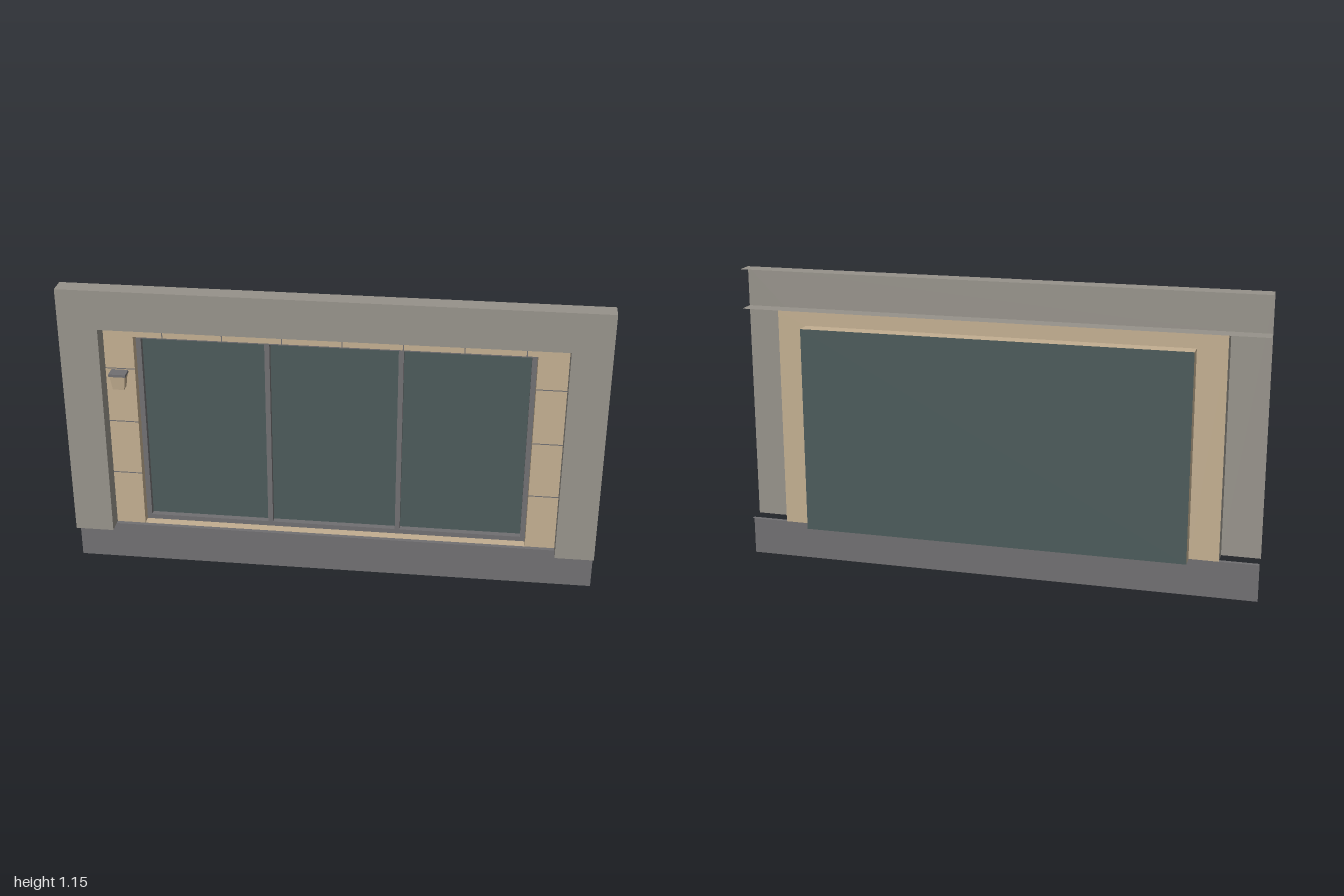
import * as THREE from 'three';

const paint = (name, color) => new THREE.MeshStandardMaterial({ name, color, side: THREE.DoubleSide });

export function createModel() {
  const root = new THREE.Group();
  root.name = 'windowBay';
  const concrete = paint('warmGreyConcrete', 0x96928a);
  const stone = paint('tanStone', 0xc2ae90);
  const metal = paint('darkGreyMetal', 0x706f71);
  const glass = paint('tealGlass', 0x4b5a5a);

  const FRONT = 0.065, WALL = -0.005, BACK = -0.065; // depth planes
  const SILL = 0.15, HEAD = 1.0, TOP = 1.152;        // heights
  const OPEN = 0.853, WIN = 0.741, WIN_TOP = 0.947;  // half widths and window head

  const add = (name, geometry, material) => {
    const mesh = new THREE.Mesh(geometry, material);
    mesh.name = name;
    root.add(mesh);
    return mesh;
  };
  const box = (name, mat, x0, x1, y0, y1, z0, z1) => add(name,
    new THREE.BoxGeometry(x1 - x0, y1 - y0, z1 - z0)
      .translate((x0 + x1) / 2, (y0 + y1) / 2, (z0 + z1) / 2), mat);
  // Single sheets facing the front, up or sideways
  const frontSheet = (name, mat, x0, x1, y0, y1, z) => add(name,
    new THREE.PlaneGeometry(x1 - x0, y1 - y0).translate((x0 + x1) / 2, (y0 + y1) / 2, z), mat);
  const flatSheet = (name, mat, halfX, y, z0, z1) => add(name,
    new THREE.PlaneGeometry(2 * halfX, z1 - z0).rotateX(-Math.PI / 2).translate(0, y, (z0 + z1) / 2), mat);
  const sideSheet = (name, mat, x, y0, y1, z0, z1) => add(name,
    new THREE.PlaneGeometry(z1 - z0, y1 - y0)
      .rotateY(x < 0 ? Math.PI / 2 : -Math.PI / 2).translate(x, (y0 + y1) / 2, (z0 + z1) / 2), mat);
  // Upside-down U sheet around an opening that reaches the sill
  const arch = (name, mat, w, top, innerW, innerTop, z) => {
    const shape = new THREE.Shape([
      [-w, SILL], [-innerW, SILL], [-innerW, innerTop], [innerW, innerTop],
      [innerW, SILL], [w, SILL], [w, top], [-w, top],
    ].map(([x, y]) => new THREE.Vector2(x, y)));
    add(name, new THREE.ShapeGeometry(shape).translate(0, 0, z), mat);
  };

  // Outer concrete surround with its top and soffit shelves
  arch('outerSurround', concrete, 1, TOP, OPEN, HEAD, FRONT);
  flatSheet('topLedge', concrete, 1, TOP, WALL, FRONT);
  flatSheet('soffit', concrete, 1, HEAD, WALL, FRONT);

  // Base panel set back, with a narrow ledge
  frontSheet('basePanel', metal, -1, 1, 0, SILL, 0.012);
  flatSheet('baseLedge', metal, 1, SILL, WALL, 0.012);

  // Stone wall and the reveal around the window
  arch('stoneWall', stone, OPEN, HEAD, WIN, WIN_TOP, WALL);
  flatSheet('windowHead', stone, WIN, WIN_TOP, BACK, WALL);
  flatSheet('windowSill', stone, WIN, SILL, BACK, WALL);
  for (const s of [-1, 1]) {
    sideSheet('surroundReveal', concrete, s * OPEN, SILL, HEAD, WALL, FRONT);
    sideSheet('windowReveal', stone, s * WIN, SILL, WIN_TOP, BACK, WALL);
  }

  // Thin joints between the stone slabs
  const J = 0.002, jz = WALL + 0.001;
  for (const y of [0.374, 0.596, 0.817]) {
    frontSheet('stoneJoint', metal, -OPEN, -WIN, y - J, y + J, jz);
    frontSheet('stoneJoint', metal, WIN, OPEN, y - J, y + J, jz);
  }
  for (let i = 0; i < 7; i++) {
    const x = -0.631 + i * 0.222;
    frontSheet('stoneJoint', metal, x - J, x + J, WIN_TOP, HEAD, jz);
  }

  // Glazing and its frame
  frontSheet('glazing', glass, -WIN, WIN, SILL, WIN_TOP, BACK);
  const fz = -0.04, bz = BACK + 0.001, e = 0.001, bar = 0.019;
  const w = WIN - e, lo = SILL + e, hi = WIN_TOP - e;
  box('frameBottom', metal, -w, w, lo, lo + bar, bz, fz);
  box('frameTop', metal, -w, w, hi - bar, hi, bz, fz);
  for (const s of [-1, 1]) {
    const jamb = s * (w - bar / 2), mullion = s * 0.248;
    box('frameJamb', metal, jamb - bar / 2, jamb + bar / 2, lo + bar, hi - bar, bz, fz);
    box('mullion', metal, mullion - bar / 2, mullion + bar / 2, lo + bar, hi - bar, bz, fz);
  }

  // Wall lamp: body tapering downwards under a flat cap
  const lampX = -0.799, lampBottom = 0.746, capBottom = 0.802;
  const body = new THREE.BoxGeometry(0.058, capBottom - lampBottom, 0.044).translate(0, 0, 0.022);
  const p = body.attributes.position;
  for (let i = 0; i < p.count; i++) {
    if (p.getY(i) < 0) p.setXYZ(i, p.getX(i) * 0.74, p.getY(i), p.getZ(i) * 0.84);
  }
  body.computeVertexNormals();
  add('lampBody', body.translate(lampX, (lampBottom + capBottom) / 2, WALL), stone);
  box('lampCap', metal, lampX - 0.032, lampX + 0.032, capBottom, 0.812, WALL, 0.043);

  return root;
}
